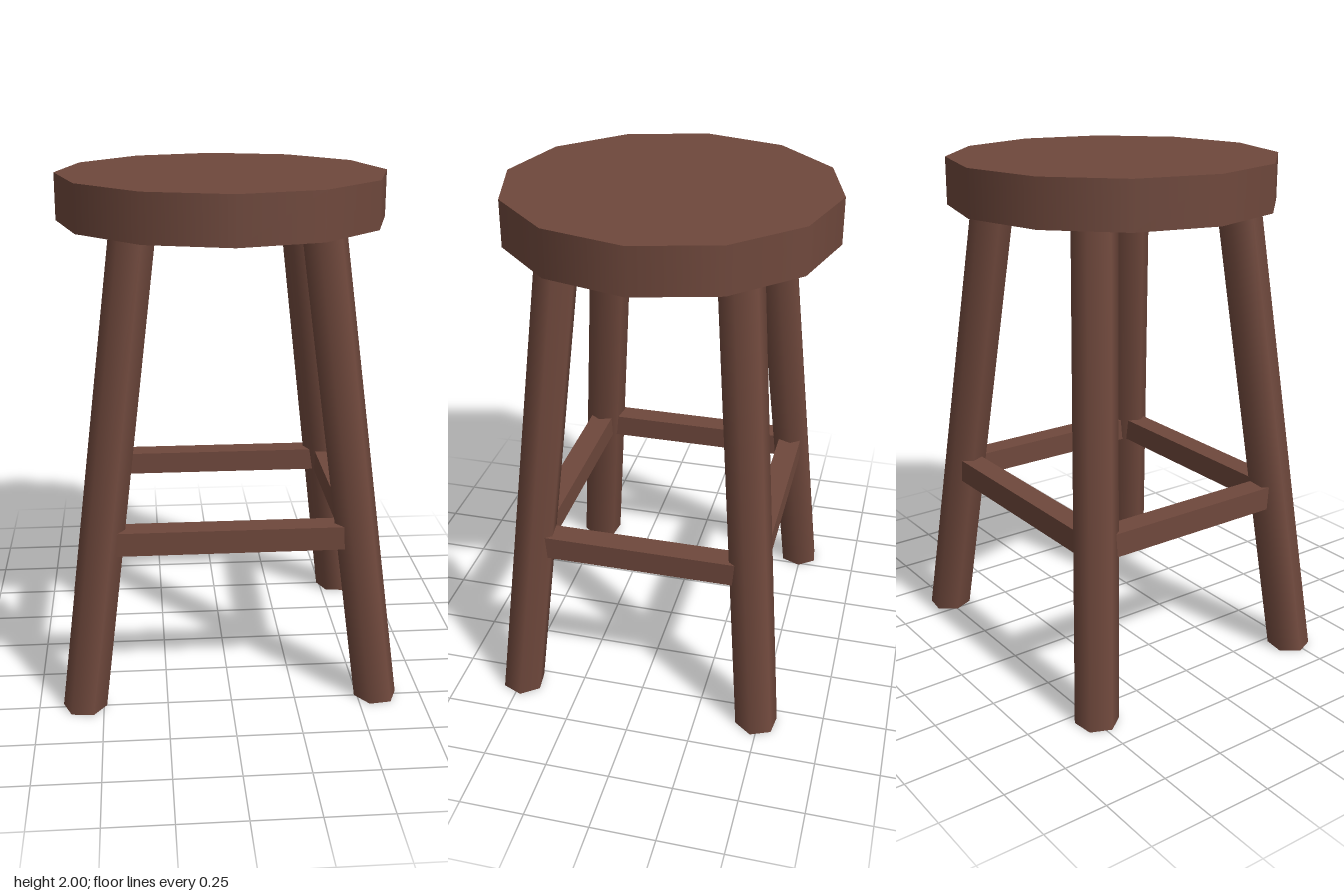
import * as THREE from 'three';

export function createModel() {
  const stool = new THREE.Group();
  stool.name = 'stool';
  const wood = new THREE.MeshStandardMaterial({ color: 0x6f483c });
  wood.name = 'dark brown wood';

  const add = (name, geometry, x, y, z) => {
    const mesh = new THREE.Mesh(geometry, wood);
    mesh.name = name;
    mesh.position.set(x, y, z);
    stool.add(mesh);
  };

  // Twelve-sided seat
  add('seat', new THREE.CylinderGeometry(0.637, 0.637, 0.18, 12), 0, 1.91, 0);

  // Six-sided splayed legs, cut level at floor and seat
  const legHeight = 1.84;
  const foot = { x: 0.573, z: 0.49 };
  const splay = { x: 0.225 / 1.82, z: 0.157 / 1.82 };
  for (const sx of [1, -1]) {
    for (const sz of [1, -1]) {
      const leg = new THREE.CylinderGeometry(0.085, 0.085, legHeight, 6);
      // Vertices start at +z; turn them to mirror across each quadrant
      leg.rotateY(sx * sz * THREE.MathUtils.degToRad(-23));
      leg.translate(0, legHeight / 2, 0);
      // Shear the upright prism so that the leg leans inwards
      leg.applyMatrix4(new THREE.Matrix4().set(
        1, -sx * splay.x, 0, 0,
        0, 1, 0, 0,
        0, -sz * splay.z, 1, 0,
        0, 0, 0, 1));
      const name = (sz > 0 ? 'front' : 'back') + (sx > 0 ? 'Left' : 'Right') + 'Leg';
      add(name, leg, sx * foot.x, 0, sz * foot.z);
    }
  }

  // Square stretchers between the leg centres
  const y = 0.672, size = 0.093;
  const x = foot.x - splay.x * y, z = foot.z - splay.z * y;
  for (const s of [1, -1]) {
    add(s > 0 ? 'frontStretcher' : 'backStretcher',
      new THREE.BoxGeometry(2 * x - 0.06, size, size), 0, y, s * z);
    add(s > 0 ? 'leftStretcher' : 'rightStretcher',
      new THREE.BoxGeometry(size, size, 2 * z - 0.06), s * x, y, 0);
  }
  return stool;
}
